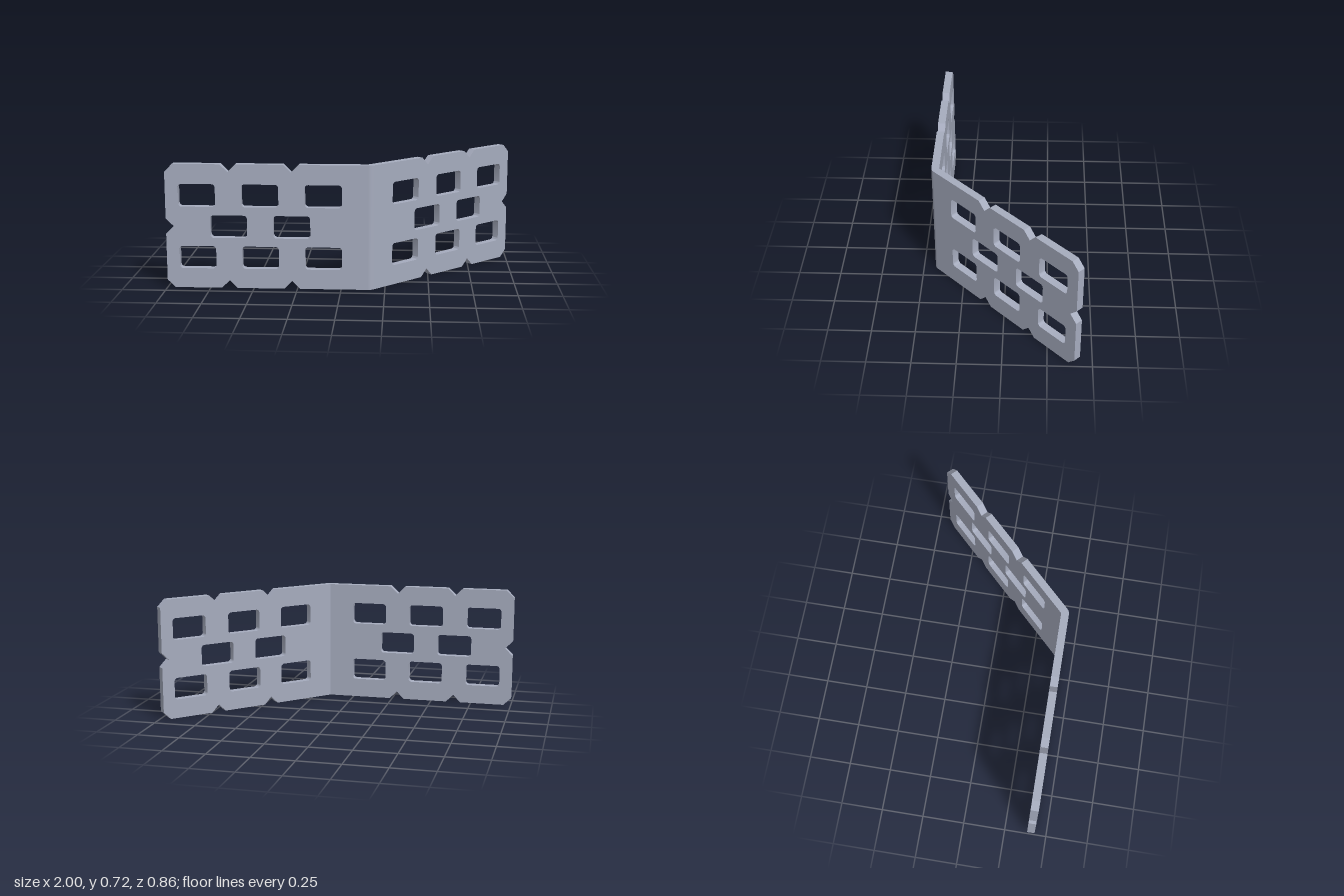
import * as THREE from 'three';
import { toCreasedNormals } from 'three/addons/utils/BufferGeometryUtils.js';

const HEIGHT = 0.72, LENGTH = 1.153, THICK = 0.045, CUT = 0.045;
const HINGE = { x: 0.153, z: 0.385 };
const BEND = Math.PI / 4;

// Rounded rectangular hole centred on (cx, cy)
function slot(cx, cy, w = 0.211, h = 0.131, r = 0.02) {
  const a = cx - w / 2, b = cx + w / 2, c = cy - h / 2, d = cy + h / 2;
  const p = new THREE.Path();
  p.moveTo(a + r, c);
  p.lineTo(b - r, c);
  p.absarc(b - r, c + r, r, -Math.PI / 2, 0, false);
  p.lineTo(b, d - r);
  p.absarc(b - r, d - r, r, 0, Math.PI / 2, false);
  p.lineTo(a + r, d);
  p.absarc(a + r, d - r, r, Math.PI / 2, Math.PI, false);
  p.lineTo(a, c + r);
  p.absarc(a + r, c + r, r, Math.PI, Math.PI * 1.5, false);
  return p;
}

// One perforated wing running from the bend towards side (+1 or -1) along x
function wingGeometry(side) {
  const notches = [0.433, 0.793];
  const lower = [[0, 0]];
  for (const u of notches) lower.push([u - CUT, 0], [u, CUT], [u + CUT, 0]);
  // chamfered corner, then the V notch in the middle of the end
  lower.push([LENGTH - CUT, 0], [LENGTH, CUT], [LENGTH, HEIGHT / 2 - CUT]);
  const upper = lower.map(([u, y]) => [u, HEIGHT - y]).reverse();
  const outline = [...lower, [LENGTH - CUT, HEIGHT / 2], ...upper];
  const shape = new THREE.Shape(outline.map(([u, y]) => new THREE.Vector2(side * u, y)));

  // Staggered rows of slots
  for (const y of [0.18, 0.54])
    for (const u of [0.253, 0.613, 0.973]) shape.holes.push(slot(side * u, y));
  for (const u of notches) shape.holes.push(slot(side * u, HEIGHT / 2));

  const geo = new THREE.ExtrudeGeometry(shape, { depth: THICK, bevelEnabled: false, curveSegments: 5 });
  return toCreasedNormals(geo, Math.PI / 6);
}

export function createModel() {
  const metal = new THREE.MeshStandardMaterial({ color: 0xa6acbe });
  metal.name = 'blue grey metal';
  const group = new THREE.Group();
  group.name = 'bentPlate';

  const add = (name, geometry, y, turn) => {
    const mesh = new THREE.Mesh(geometry, metal);
    mesh.name = name;
    mesh.position.set(HINGE.x, y, HINGE.z);
    mesh.rotation.y = turn;
    group.add(mesh);
  };

  add('rightWing', wingGeometry(-1), 0, 0);
  add('leftWing', wingGeometry(1), 0, BEND);
  // Rounded outside of the bend
  add('bend', new THREE.CylinderGeometry(THICK, THICK, HEIGHT, 8, 1, false, 0, BEND), HEIGHT / 2, 0);

  return group;
}
